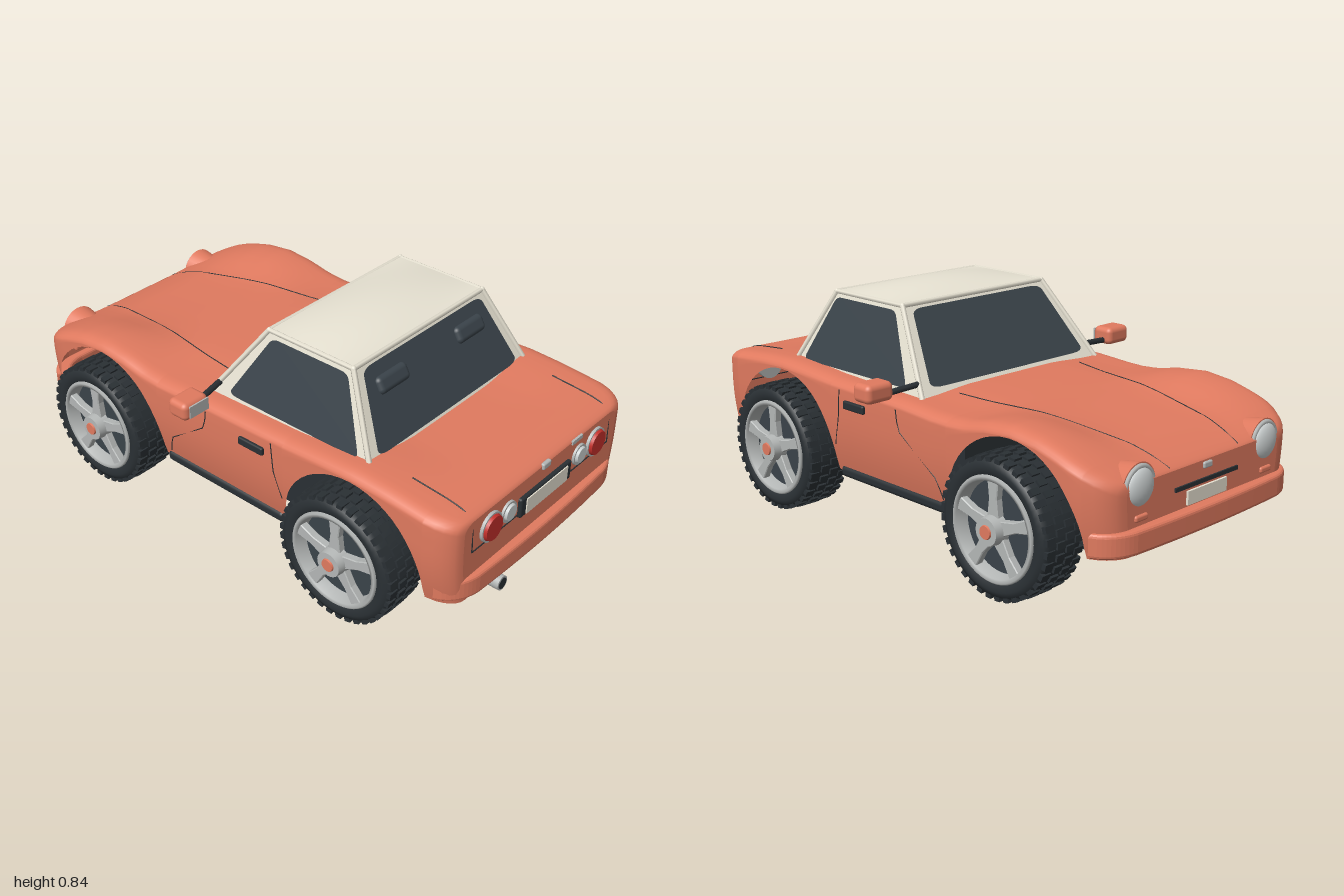
import * as THREE from 'three';
import { mergeGeometries } from 'three/addons/utils/BufferGeometryUtils.js';
import { RoundedBoxGeometry } from 'three/addons/geometries/RoundedBoxGeometry.js';

const mat = (name, color, side = THREE.FrontSide) => new THREE.MeshStandardMaterial({ name, color, side });
const V = (x, y, z) => new THREE.Vector3(x, y, z);
const smooth = THREE.MathUtils.smoothstep;

// Piecewise linear lookup of [position, value] pairs
function lookup(t, z) {
  if (z <= t[0][0]) return t[0][1];
  for (let i = 1; i < t.length; i++) {
    const [a, va] = t[i - 1], [b, vb] = t[i];
    if (z <= b) return va + (vb - va) * (z - a) / (b - a);
  }
  return t[t.length - 1][1];
}

// Body rules: centre line, fender line, plan width, wheel arches
const NOSE = -0.96, TAIL = 0.965, ARCH = 0.285, ARCH_Y = 0.235, AXLES = [-0.59, 0.575];
const CENTRE = [[-0.96, 0.445], [-0.8, 0.487], [-0.5, 0.52], [-0.12, 0.54], [0.6, 0.54], [0.85, 0.535], [0.965, 0.525]];
const FENDER = [[-0.96, 0.45], [-0.85, 0.495], [-0.78, 0.52], [-0.7, 0.542], [-0.59, 0.555], [-0.48, 0.545], [-0.38, 0.525],
  [-0.28, 0.518], [-0.1, 0.53], [0.3, 0.54], [0.45, 0.55], [0.57, 0.556], [0.7, 0.55], [0.83, 0.538], [0.965, 0.525]];
const endRound = z => {
  const e = z < 0 ? (z - NOSE) / 0.15 : (TAIL - z) / 0.11;
  return e >= 1 ? 1 : Math.sqrt(1 - (1 - Math.max(e, 0)) ** 2);
};
const halfWidth = z => 0.508 * (1 - (1 - endRound(z)) * (z < 0 ? 0.24 : 0.15));
const topY = (k, z) => {
  const c = lookup(CENTRE, z), f = lookup(FENDER, z);
  const q = Math.max(0, (k - 0.88) / 0.12);
  return c + (f - c) * smooth(k, 0.35, 0.82) - 0.03 * (1 - Math.sqrt(Math.max(0, 1 - q * q))) - 0.025 * (1 - endRound(z));
};
const sideX = (y, z) => halfWidth(z) * (1 - 0.06 * (Math.max(0, 0.42 - y) / 0.22) ** 2);
const bottomY = z => {
  for (const c of AXLES) {
    const d = Math.abs(z - c);
    if (d <= ARCH + 1e-6) return ARCH_Y + Math.sqrt(Math.max(0, ARCH * ARCH - d * d));
  }
  return 0.2;
};

// Lofted body shell with open wheel arches and closed ends
function bodyGeometry() {
  const zs = [];
  for (const c of AXLES) {
    for (let i = 0; i <= 24; i++) zs.push(c - ARCH * Math.cos(Math.PI * i / 24));
    zs.push(c - ARCH - 0.003, c + ARCH + 0.003);
  }
  for (let i = 1; i < 8; i++) zs.push(-0.3 + i * 0.07);
  for (const t of [0, 0.03, 0.1, 0.22, 0.4, 0.65]) zs.push(NOSE + t * 0.08, TAIL - t * 0.1);
  zs.sort((a, b) => a - b);
  const ks = [1, 0.995, 0.98, 0.95, 0.92, 0.88, 0.8, 0.7, 0.6, 0.5, 0.4, 0.2, 0];
  const pos = [], idx = [];
  const rings = zs.map(z => {
    const w = halfWidth(z), yb = bottomY(z), ys = topY(1, z), half = [];
    for (let i = 0; i < 7; i++) {
      const y = yb + (ys - yb) * i / 7;
      half.push([sideX(y, z), y]);
    }
    ks.forEach(k => half.push([k * w, topY(k, z)]));
    return [...half, ...half.slice(0, -1).reverse().map(([x, y]) => [-x, y])].map(p => [...p, z]);
  });
  const M = rings[0].length;
  rings.forEach(r => r.forEach(p => pos.push(...p)));
  for (let i = 0; i < rings.length - 1; i++) for (let j = 0; j < M - 1; j++) {
    const a = i * M + j, b = a + M;
    idx.push(a, a + 1, b, a + 1, b + 1, b);
  }
  [rings[0], rings[rings.length - 1]].forEach((r, end) => {
    const o = pos.length / 3;
    r.forEach(p => pos.push(...p));
    for (let j = 0; j < (M - 1) / 2; j++) {
      const a = o + j, b = a + 1, c = o + M - 1 - j, d = c - 1;
      if (end) idx.push(a, b, c, b, d, c); else idx.push(a, c, b, b, c, d);
    }
  });
  const g = new THREE.BufferGeometry();
  g.setAttribute('position', new THREE.Float32BufferAttribute(pos, 3));
  g.setIndex(idx);
  g.computeVertexNormals();
  return g;
}

// Rounded panel laid on the quad a,b (bottom) d,c (top), inset and lifted off it
function panel([a, b, c, d], u0 = 0, u1 = 1, v0 = 0, v1 = 1, r = 0.001, lift = 0) {
  const s = new THREE.Shape();
  s.moveTo(u0 + r, v0).lineTo(u1 - r, v0).quadraticCurveTo(u1, v0, u1, v0 + r).lineTo(u1, v1 - r)
    .quadraticCurveTo(u1, v1, u1 - r, v1).lineTo(u0 + r, v1).quadraticCurveTo(u0, v1, u0, v1 - r)
    .lineTo(u0, v0 + r).quadraticCurveTo(u0, v0, u0 + r, v0);
  const g = new THREE.ShapeGeometry(s, 6), p = g.attributes.position;
  const n = b.clone().sub(a).cross(d.clone().sub(a)).normalize().multiplyScalar(lift);
  for (let i = 0; i < p.count; i++) {
    const q = a.clone().lerp(b, p.getX(i)).lerp(d.clone().lerp(c, p.getX(i)), p.getY(i)).add(n);
    p.setXYZ(i, q.x, q.y, q.z);
  }
  g.computeVertexNormals();
  return g;
}

export function createModel() {
  const car = new THREE.Group();
  car.name = 'car';
  const paint = mat('coral paint', 0xe07a5f, THREE.DoubleSide), cream = mat('cream roof', 0xe9e4d4, THREE.DoubleSide);
  const glass = mat('dark glass', 0x3a434a, THREE.DoubleSide), black = mat('black rubber', 0x2a3034);
  const metal = mat('grey metal', 0xb4b7b6), lens = mat('clear lens', 0xcdd2d2), red = mat('red lens', 0xc4302b);
  const add = (name, g, m, x = 0, y = 0, z = 0, parent = car) => {
    const o = new THREE.Mesh(g, m);
    o.name = name;
    o.position.set(x, y, z);
    parent.add(o);
    return o;
  };
  const box = (w, h, d) => new THREE.BoxGeometry(w, h, d);
  const disc = (r0, r1, len) => new THREE.CylinderGeometry(r0, r1, len, 32).rotateX(Math.PI / 2);
  const line = (name, pts, m = black, r = 0.0025) => {
    const path = new THREE.CurvePath();
    for (let i = 1; i < pts.length; i++) path.add(new THREE.LineCurve3(pts[i - 1], pts[i]));
    return add(name, new THREE.TubeGeometry(path, Math.max(1, (pts.length - 1) * 3), r, 6), m);
  };

  // Shell, floor and cabin tub
  add('body', bodyGeometry(), paint);
  add('floor', box(0.76, 0.02, 1.74), black, 0, 0.19, 0);
  add('cabinTub', box(0.8, 0.32, 0.84), black, 0, 0.36, 0.14);

  // Bumpers
  const bs = new THREE.Shape();
  bs.moveTo(-0.47, 0.905).quadraticCurveTo(-0.44, 0.965, -0.36, 0.975).quadraticCurveTo(0, 0.995, 0.36, 0.975)
    .quadraticCurveTo(0.44, 0.965, 0.47, 0.905).lineTo(0.44, 0.895).quadraticCurveTo(0.4, 0.94, 0.34, 0.945)
    .lineTo(-0.34, 0.945).quadraticCurveTo(-0.4, 0.94, -0.44, 0.895);
  const bumper = new THREE.ExtrudeGeometry(bs, { depth: 0.056, bevelSize: 0.012, bevelThickness: 0.012, bevelSegments: 3, curveSegments: 10 })
    .rotateX(Math.PI / 2);
  add('rearBumper', bumper, paint, 0, 0.278, 0);
  add('frontBumper', bumper, paint, 0, 0.278, 0).rotation.y = Math.PI;

  // Cabin walls, windows and crowned roof
  const corner = (sx, front, top) => top ? V(sx * 0.342, 0.803, front ? 0.088 : 0.447) : V(sx * 0.432, 0.525, front ? -0.11 : 0.598);
  const wall = (s1, f1, s2, f2) => [corner(s1, f1, 0), corner(s2, f2, 0), corner(s2, f2, 1), corner(s1, f1, 1)];
  const walls = {
    rear: [wall(-1, false, 1, false), 0.05, 0.95, 0.09, 0.95],
    front: [wall(1, true, -1, true), 0.05, 0.95, 0.09, 0.94],
    left: [wall(1, false, 1, true), 0.06, 0.9, 0.08, 0.93],
    right: [wall(-1, true, -1, false), 0.1, 0.94, 0.08, 0.93],
  };
  for (const [name, [q, ...inset]] of Object.entries(walls)) {
    add(name + 'CabinFrame', panel(q), cream);
    add(name + 'Window', panel(q, ...inset, 0.07, 0.006), glass);
  }
  const roof = new THREE.PlaneGeometry(2, 2, 16, 16).rotateX(-Math.PI / 2), rp = roof.attributes.position;
  for (let i = 0; i < rp.count; i++) {
    const u = rp.getX(i), v = rp.getZ(i);
    rp.setXYZ(i, u * 0.342, 0.808 + 0.027 * (1 - u * u) * (1 - v * v), 0.2675 + v * 0.1795);
  }
  roof.computeVertexNormals();
  add('roof', roof, cream);
  const rim = [[1, true], [1, false], [-1, false], [-1, true]];
  rim.forEach(([s, f], i) => {
    const [s2, f2] = rim[(i + 1) % 4];
    line('pillar', [corner(s, f, 0), corner(s, f, 1)], cream, 0.01);
    line('roofEdge', [corner(s, f, 1), corner(s2, f2, 1)], cream, 0.009);
    add('roofCorner', new THREE.SphereGeometry(0.01, 10, 8), cream, ...corner(s, f, 1).toArray());
  });

  // Wheels
  const tyre = new THREE.LatheGeometry([[0.165, -0.07], [0.18, -0.082], [0.2, -0.087], [0.218, -0.08], [0.228, -0.064], [0.229, 0],
    [0.228, 0.064], [0.218, 0.08], [0.2, 0.087], [0.18, 0.082], [0.17, 0.075], [0.165, 0.03]].map(p => new THREE.Vector2(...p)), 56);
  const blocks = [];
  for (let i = 0; i < 36; i++) for (const [ax, off, len] of [[-0.062, 0, 0.036], [-0.02, 0.5, 0.034], [0.02, 0, 0.034], [0.062, 0.5, 0.036]]) {
    blocks.push(box(0.02, len, 0.022).translate(Math.abs(ax) > 0.05 ? 0.223 : 0.226, ax, 0).rotateY((i + off) * Math.PI / 18));
  }
  const tread = mergeGeometries(blocks);
  const rimRing = new THREE.LatheGeometry([[0.152, 0.04], [0.174, 0.04], [0.176, 0.082], [0.17, 0.088], [0.158, 0.085], [0.152, 0.04]]
    .map(p => new THREE.Vector2(...p)), 48);
  const spokeShape = new THREE.Shape();
  spokeShape.moveTo(0.02, -0.024).lineTo(0.1, -0.014).lineTo(0.16, -0.021).lineTo(0.16, 0.021).lineTo(0.1, 0.014).lineTo(0.02, 0.024);
  const spoke = new THREE.ExtrudeGeometry(spokeShape, { depth: 0.022, bevelSize: 0.003, bevelThickness: 0.003, bevelSegments: 1 })
    .rotateX(-Math.PI / 2).translate(0, 0.055, 0);
  for (const z of [-0.58, 0.565]) for (const s of [1, -1]) {
    const w = new THREE.Group();
    w.name = (z < 0 ? 'front' : 'rear') + (s > 0 ? 'Left' : 'Right') + 'Wheel';
    w.position.set(s * 0.4875, 0.236, z);
    w.rotation.z = -s * Math.PI / 2;
    car.add(w);
    const part = (n, g, m, y = 0) => add(n, g, m, 0, y, 0, w);
    part('tyre', tyre, black);
    part('tread', tread, black);
    part('wheelDisc', new THREE.CylinderGeometry(0.168, 0.168, 0.1, 40), glass, -0.02);
    part('rim', rimRing, metal);
    for (let i = 0; i < 5; i++) part('spoke', spoke, metal).rotation.y = i * Math.PI * 0.4 + (s > 0 ? Math.PI : 0);
    part('hub', new THREE.CylinderGeometry(0.045, 0.052, 0.05, 24), metal, 0.083);
    part('hubCap', new THREE.CylinderGeometry(0.022, 0.024, 0.008, 20), paint, 0.11);
  }

  // Parts mirrored left and right
  for (const s of [1, -1]) {
    add('sill', new RoundedBoxGeometry(0.05, 0.04, 0.56, 3, 0.015), black, s * 0.465, 0.2, -0.01);
    add('doorHandle', new RoundedBoxGeometry(0.016, 0.03, 0.11, 2, 0.006), black, s * 0.512, 0.462, 0.155);
    add('mirror', new RoundedBoxGeometry(0.112, 0.066, 0.085, 4, 0.02), paint, s * 0.592, 0.577, -0.05);
    add('mirrorGlass', box(0.084, 0.044, 0.006), metal, s * 0.585, 0.577, -0.007);
    line('mirrorArm', [V(s * 0.42, 0.572, -0.075), V(s * 0.55, 0.56, -0.055)], black, 0.011);
    add('headrest', new RoundedBoxGeometry(0.15, 0.062, 0.04, 4, 0.019), glass, s * 0.207, 0.723, 0.492).rotation.x = -0.5;

    // Lamps
    add('tailLampRing', disc(0.053, 0.055, 0.03), metal, s * 0.3, 0.43, 0.96);
    add('tailLamp', disc(0.043, 0.048, 0.014), red, s * 0.3, 0.43, 0.978);
    add('reverseLampRing', disc(0.038, 0.041, 0.026), metal, s * 0.203, 0.43, 0.96);
    add('reverseLamp', disc(0.027, 0.033, 0.012), lens, s * 0.203, 0.43, 0.975);
    add('headlampPod', disc(0.062, 0.077, 0.09), paint, s * 0.32, 0.41, -0.905).rotation.y = 0;
    add('headlampRing', new THREE.TorusGeometry(0.064, 0.009, 8, 32), metal, s * 0.32, 0.41, -0.95);
    add('headlamp', new THREE.SphereGeometry(0.063, 24, 16), lens, s * 0.32, 0.41, -0.95).scale.z = 0.4;
    add('indicator', new RoundedBoxGeometry(0.06, 0.022, 0.02, 2, 0.008), paint, s * 0.32, 0.315, -0.958);

    // Panel gaps
    const top = (x, z) => V(s * x, topY(x / halfWidth(z), z) + 0.0005, z);
    const flank = (y, z) => V(s * (sideX(y, z) + 0.0005), y, z);
    const hood = [], boot = [];
    for (let i = 0; i <= 12; i++) hood.push(top(0.175 + 0.125 * i / 12, -0.95 + 0.8 * i / 12));
    for (let i = 0; i <= 6; i++) boot.push(top(0.39, 0.73 + 0.033 * i));
    line('hoodGap', hood, black, 0.002);
    line('bootGap', [...boot, V(s * 0.39, 0.495, 0.962), V(s * 0.39, 0.38, 0.966)]);
    line('doorFrontGap', [flank(0.5, -0.06), flank(0.43, -0.07), flank(0.3, -0.25), flank(0.23, -0.27)], black, 0.002);
    line('doorRearGap', [flank(0.51, 0.24), flank(0.4, 0.25), flank(0.3, 0.28)], black, 0.002);
  }
  line('bootLowerGap', [V(-0.39, 0.38, 0.966), V(0.39, 0.38, 0.966)]);

  // Tail details
  add('rearPlateFrame', new RoundedBoxGeometry(0.292, 0.075, 0.03, 2, 0.008), black, 0, 0.406, 0.963);
  add('rearPlate', box(0.235, 0.058, 0.006), cream, 0, 0.406, 0.979);
  add('bootLatch', new RoundedBoxGeometry(0.044, 0.024, 0.016, 2, 0.006), metal, 0, 0.498, 0.965);
  add('rearTrim', box(0.06, 0.014, 0.008), metal, 0.182, 0.499, 0.966);
  add('exhaust', disc(0.026, 0.026, 0.11), metal, -0.243, 0.178, 0.94);
  add('exhaustBore', disc(0.02, 0.02, 0.004), black, -0.243, 0.178, 0.995);
  add('exhaustBox', new RoundedBoxGeometry(0.74, 0.035, 0.08, 2, 0.015), black, 0, 0.187, 0.84);

  // Nose details
  add('grilleSlot', box(0.32, 0.014, 0.01), black, 0, 0.36, -0.961);
  add('frontPlate', box(0.2, 0.046, 0.01), cream, 0, 0.32, -0.963);
  add('hoodLatch', new RoundedBoxGeometry(0.044, 0.022, 0.016, 2, 0.006), metal, 0, 0.408, -0.96);
  return car;
}
